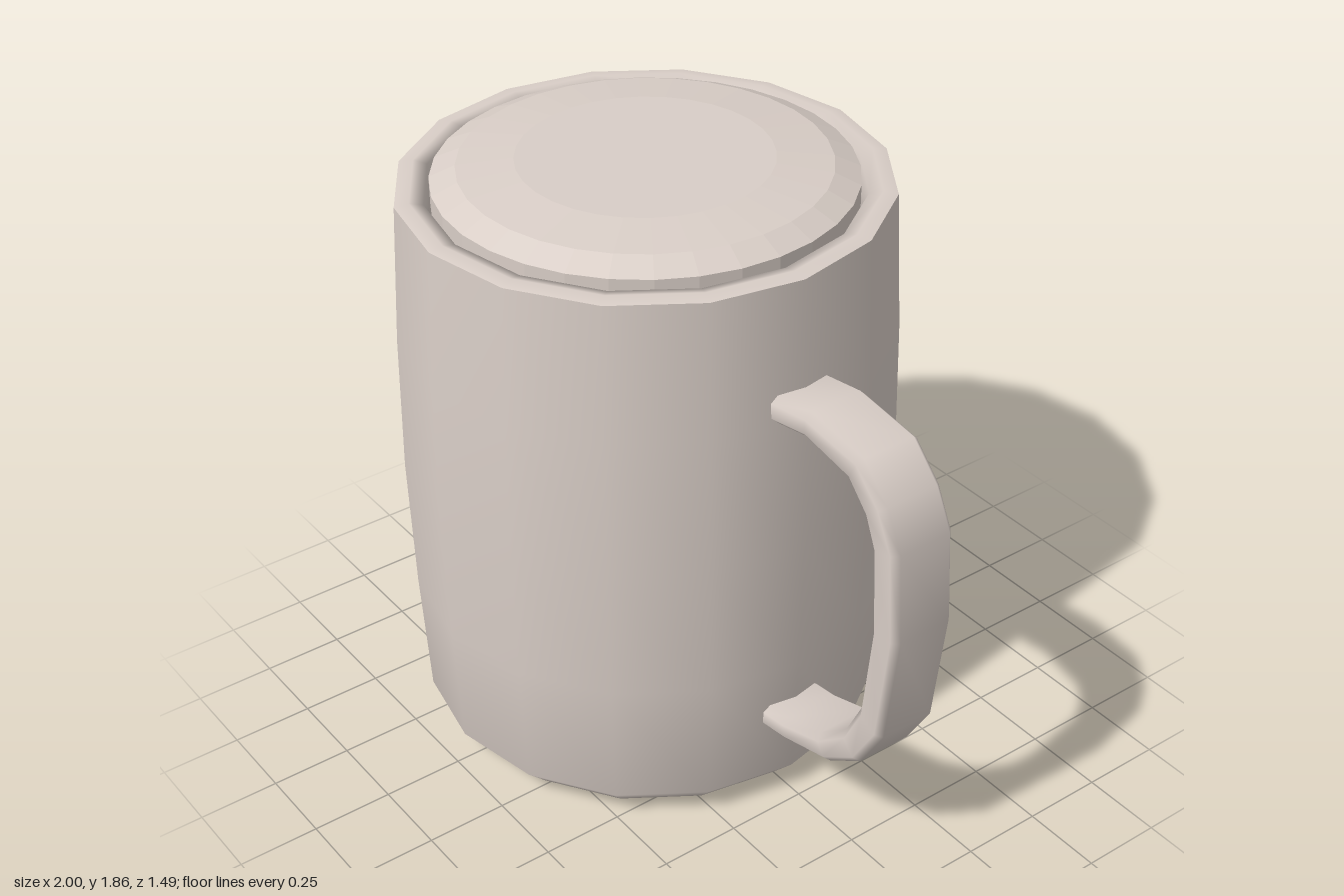
import * as THREE from 'three';

const CENTER_X = -0.255;

const lathe = (pairs, sides) =>
  new THREE.LatheGeometry(pairs.map(([r, y]) => new THREE.Vector2(r, y)), sides);

// Sweeps a chamfered band through pairs of outer and inner edge points
function handleGeometry(stations, halfWidth, chamfer) {
  const pos = [], idx = [];
  const n = 8;
  for (const [ox, oy, ix, iy] of stations) {
    const t = chamfer / Math.hypot(ox - ix, oy - iy);
    const w = halfWidth - chamfer;
    const section = [
      [0, w], [t, halfWidth], [1 - t, halfWidth], [1, w],
      [1, -w], [1 - t, -halfWidth], [t, -halfWidth], [0, -w],
    ];
    for (const [s, z] of section) pos.push(ox + (ix - ox) * s, oy + (iy - oy) * s, z);
  }
  for (let i = 0; i < stations.length - 1; i++) {
    for (let j = 0; j < n; j++) {
      const a = i * n + j, b = i * n + (j + 1) % n;
      idx.push(a, b, a + n, b, b + n, a + n);
    }
  }
  const g = new THREE.BufferGeometry();
  g.setAttribute('position', new THREE.Float32BufferAttribute(pos, 3));
  g.setIndex(idx);
  g.computeVertexNormals();
  return g;
}

export function createModel() {
  const group = new THREE.Group();
  const ceramic = new THREE.MeshStandardMaterial({ color: 0xd9cec7, side: THREE.DoubleSide });
  ceramic.name = 'warm grey ceramic';

  const add = (name, geometry, x = 0) => {
    const mesh = new THREE.Mesh(geometry, ceramic);
    mesh.name = name;
    mesh.position.x = x;
    group.add(mesh);
  };

  // Barrel-shaped outer wall with chamfered foot
  add('body', lathe([
    [0, 0], [0.63, 0], [0.715, 0.09], [0.735, 0.5], [0.745, 0.93], [0.737, 1.36], [0.715, 1.788],
  ], 16), CENTER_X);

  // Rounded lip running down into the inner wall
  add('rim', lathe([
    [0.715, 1.788], [0.672, 1.795], [0.632, 1.785], [0.63, 1.7],
  ], 16), CENTER_X);
  add('innerWall', lathe([
    [0.63, 1.7], [0.675, 0.93], [0.64, 0.16], [0.58, 0.1], [0, 0.1],
  ], 16), CENTER_X);

  // Shallow stepped lid with faceted bands
  const lid = lathe([
    [0.61, 1.72], [0.61, 1.808], [0.535, 1.842], [0.37, 1.86], [0, 1.86],
  ], 32).toNonIndexed();
  lid.computeVertexNormals();
  add('lid', lid, CENTER_X);

  // Handle: outer x, outer y, inner x, inner y
  add('handle', handleGeometry([
    [0.44, 1.455, 0.44, 1.368],
    [0.60, 1.48, 0.60, 1.397],
    [0.82, 1.45, 0.775, 1.365],
    [0.92, 1.35, 0.845, 1.29],
    [0.98, 1.23, 0.88, 1.205],
    [1.0, 0.95, 0.895, 0.94],
    [0.955, 0.59, 0.86, 0.635],
    [0.865, 0.44, 0.80, 0.515],
    [0.735, 0.35, 0.69, 0.425],
    [0.55, 0.30, 0.54, 0.378],
    [0.44, 0.285, 0.44, 0.365],
  ], 0.105, 0.02));

  return group;
}
